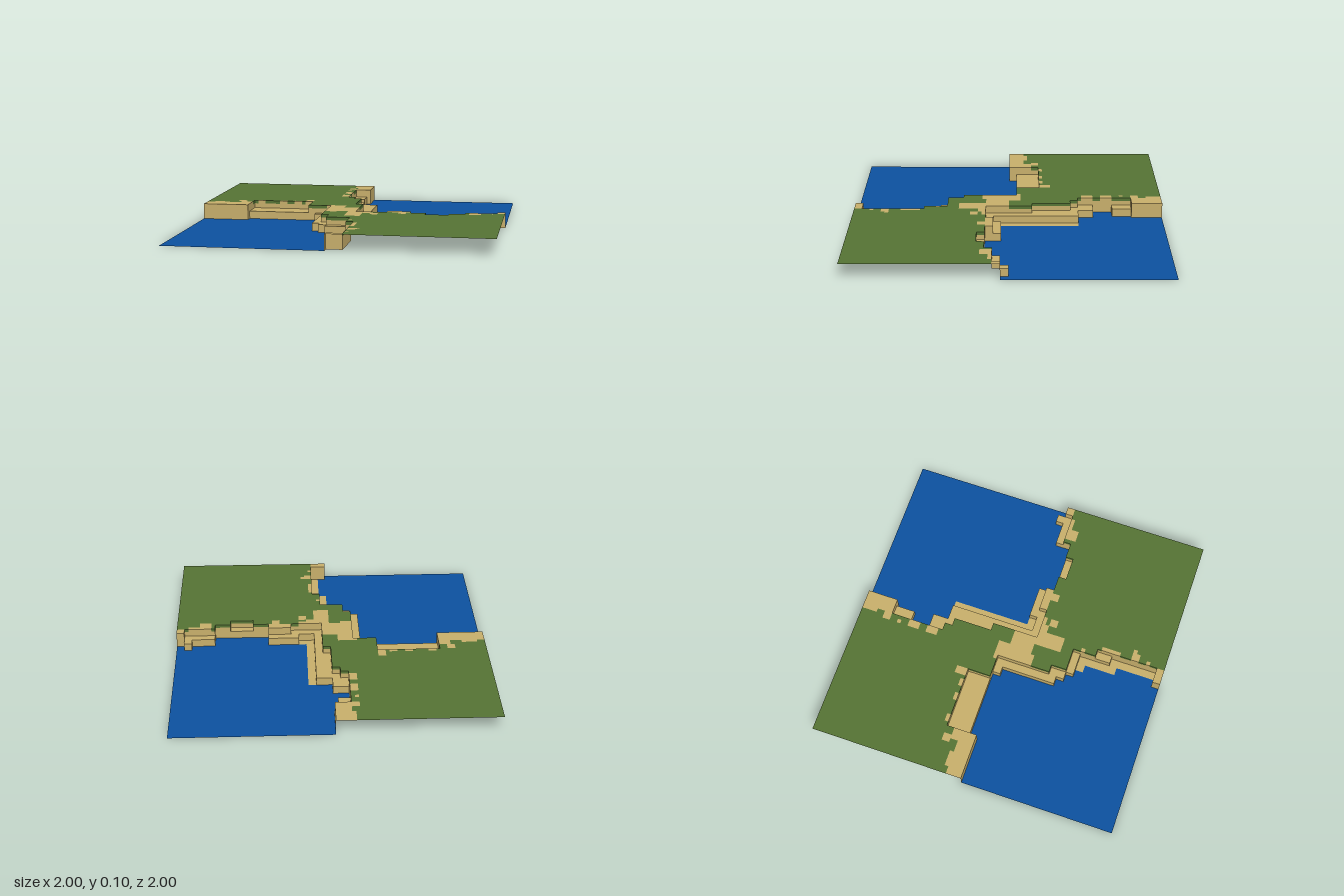
import * as THREE from 'three';

const STEP = 0.025, N = 80;
const HEIGHT = { grass: 0.1, sandPatch: 0.1, ledge: 0.05, beach: 0, water: 0 };
const LIP = 0.02;

// Each region is painted as rectangles [x0, z0, x1, z1] over a grassy plateau
const waterBack = [
  [0, -1, 1, -.45], [-.025, -.8, 0, -.675], [-.1, -.675, 0, -.55],
  [.15, -.45, 1, .05], [.4, .05, .75, .15],
];
const waterFront = [
  [-1, 0, -.2, 1], [-.7, -.05, -.25, 0], [-.2, .35, -.15, 1], [-.15, .4, -.1, 1],
  [-.1, .45, -.05, 1], [-.05, .5, 0, 1], [0, .7, .05, .95],
];
const beach = [
  [.1, -.45, .15, .1], [.15, .05, .2, .1], [-.05, .45, .05, .5],
  [0, .5, .05, .7], [.05, .65, .1, .95],
];
const ledgeBack = [
  [-.1, -.8, -.025, -.675], [-.1, -.55, 0, -.45], [-.05, -.45, 0, -.4], [0, -.45, .1, -.15],
  [.05, -.15, .1, .15], [.1, .1, .25, .15], [.2, .05, .4, .1], [.75, .05, .95, .1],
  [.9, 0, .95, .05], [.5, .15, .65, .2],
];
const ledgeFront = [
  [-.7, -.2, -.3, -.05], [-.25, -.05, -.15, 0], [-.2, 0, -.15, .35],
  [-.15, .3, -.1, .4], [-.1, .4, .05, .45], [.05, .55, .1, .65],
];
const sandBack = [
  [-.1, -1, 0, -.8], [-.125, -1, -.1, -.9], [-.15, -.85, -.1, -.8], [-.15, -.75, -.125, -.725],
  [-.15, -.675, -.1, -.6], [-.15, -.55, -.1, -.475],
];
const sandWest = [
  [-1, -.1, -.7, 0], [-.95, -.125, -.85, -.1], [-.8, -.2, -.75, -.15], [-.775, -.15, -.7, -.1],
  [-.675, -.225, -.625, -.2], [-.525, -.225, -.475, -.2], [-.425, -.225, -.375, -.2],
  [-.35, -.275, -.3, -.2],
];
const sandCentre = [
  [-.175, -.075, -.05, -.05], [-.15, -.05, -.05, .15], [-.05, 0, .05, .15],
  [-.15, .15, -.075, .175], [0, .15, .1, .325], [.1, .15, .2, .175], [.1, .175, .15, .2],
  [.15, .2, .2, .25],
];
const sandFront = [
  [.25, .1, .4, .15], [.325, .15, .375, .2], [.775, .1, .85, .175], [.85, .1, .925, .125],
  [.95, 0, 1, .1], [.1, .575, .125, .7], [.1, .775, .175, .8], [.1, .8, .15, .825],
  [.1, .875, .125, .9], [0, .95, .1, 1], [.05, .45, .075, .475],
];

function paintMap() {
  const map = Array.from({ length: N }, () => Array(N).fill('grass'));
  const cell = v => Math.round((v + 1) / STEP);
  const paint = (type, rects) => rects.forEach(([x0, z0, x1, z1]) => {
    for (let j = cell(z0); j < cell(z1); j++)
      for (let i = cell(x0); i < cell(x1); i++) map[j][i] = type;
  });
  paint('sandPatch', [...sandBack, ...sandWest, ...sandCentre, ...sandFront]);
  paint('water', [...waterBack, ...waterFront]);
  paint('beach', beach);
  paint('ledge', [...ledgeBack, ...ledgeFront]);
  return map;
}

export function createModel() {
  const mat = (name, color) => {
    const m = new THREE.MeshStandardMaterial({ color, side: THREE.DoubleSide });
    m.name = name;
    return m;
  };
  const grass = mat('grass green', 0x567435);
  const sand = mat('sand', 0xc9b06c);
  const water = mat('water blue', 0x0d52a0);
  const materials = { grass, grassLip: grass, sandPatch: sand, ledge: sand, beach: sand, cliff: sand, water };

  const points = {};
  for (const key in materials) points[key] = [];
  const quad = (part, a, b, c, d) => points[part].push(...a, ...b, ...c, ...a, ...c, ...d);

  const map = paintMap();
  const pos = k => k * STEP - 1;

  // Flat tops, one strip for each run of equal cells
  for (let j = 0; j < N; j++) {
    for (let i = 0; i < N;) {
      const type = map[j][i], start = i;
      while (i < N && map[j][i] === type) i++;
      const y = HEIGHT[type], x0 = pos(start), x1 = pos(i), z0 = pos(j), z1 = pos(j + 1);
      quad(type, [x0, y, z0], [x0, y, z1], [x1, y, z1], [x1, y, z0]);
    }
  }

  // Cliff wall between two cells, facing the lower one, with a grass lip on grassy edges
  function wall(a, b, p, q) {
    if (HEIGHT[a] === HEIGHT[b]) return;
    if (HEIGHT[a] < HEIGHT[b]) return wall(b, a, q, p);
    const face = (part, lo, hi) => quad(part,
      [p[0], lo, p[1]], [q[0], lo, q[1]], [q[0], hi, q[1]], [p[0], hi, p[1]]);
    const top = HEIGHT[a], split = a === 'grass' ? top - LIP : top;
    face('cliff', HEIGHT[b], split);
    if (a === 'grass') face('grassLip', split, top);
  }
  for (let j = 0; j < N; j++) {
    for (let i = 0; i < N; i++) {
      const x1 = pos(i + 1), z1 = pos(j + 1);
      if (i + 1 < N) wall(map[j][i], map[j][i + 1], [x1, z1], [x1, pos(j)]);
      if (j + 1 < N) wall(map[j][i], map[j + 1][i], [pos(i), z1], [x1, z1]);
    }
  }

  const group = new THREE.Group();
  group.name = 'riverCrossingTile';
  for (const key in points) {
    const geometry = new THREE.BufferGeometry();
    geometry.setAttribute('position', new THREE.Float32BufferAttribute(points[key], 3));
    geometry.computeVertexNormals();
    const mesh = new THREE.Mesh(geometry, materials[key]);
    mesh.name = key;
    group.add(mesh);
  }
  return group;
}
